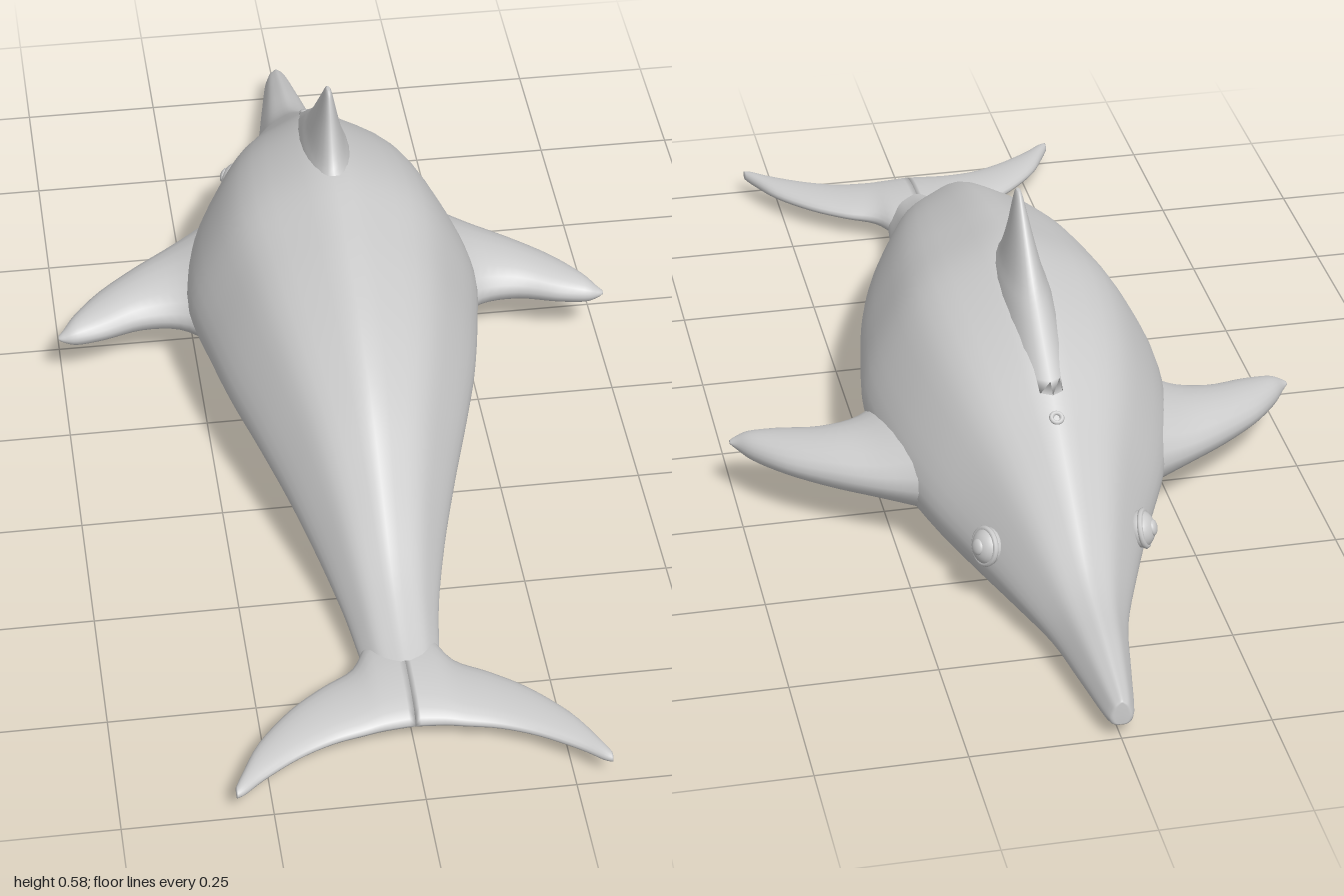
import * as THREE from 'three';

// Catmull-Rom through rows of numbers
function smoothRows(rows, steps) {
  const out = [], n = rows.length - 1;
  for (let i = 0; i < n; i++) {
    const a = rows[Math.max(i - 1, 0)], b = rows[i], c = rows[i + 1], d = rows[Math.min(i + 2, n)];
    for (let s = 0; s < steps; s++) {
      const t = s / steps;
      out.push(b.map((v, k) => v + 0.5 * t * (c[k] - a[k] + t * (2 * a[k] - 5 * v + 4 * c[k] - d[k]
        + t * (3 * (v - c[k]) + d[k] - a[k])))));
    }
  }
  out.push(rows[n]);
  return out;
}

// Skin closed rings of points, cap both ends, turn faces outward
function loft(rings) {
  const m = rings[0].length, pos = rings.flat(2), tris = [];
  for (let i = 0; i < rings.length - 1; i++) {
    for (let j = 0; j < m; j++) {
      const a = i * m + j, b = i * m + (j + 1) % m;
      tris.push([a, b, b + m], [a, b + m, a + m]);
    }
  }
  for (const i of [0, rings.length - 1]) {
    const centre = pos.length / 3;
    for (let k = 0; k < 3; k++) pos.push(rings[i].reduce((s, p) => s + p[k], 0) / m);
    for (let j = 0; j < m; j++) {
      const a = i * m + j, b = i * m + (j + 1) % m;
      tris.push(i === 0 ? [centre, b, a] : [centre, a, b]);
    }
  }
  const at = i => new THREE.Vector3().fromArray(pos, i * 3);
  const volume = tris.reduce((s, [a, b, c]) => s + at(a).dot(at(b).cross(at(c))), 0);
  const geo = new THREE.BufferGeometry();
  geo.setAttribute('position', new THREE.Float32BufferAttribute(pos, 3));
  geo.setIndex(tris.flatMap(([a, b, c]) => volume < 0 ? [a, c, b] : [a, b, c]));
  geo.computeVertexNormals();
  return geo;
}

// Lens-shaped ring in unit coordinates: u along the chord, v across the thickness
const lens = Array.from({ length: 20 }, (_, i) => {
  const a = i / 20 * Math.PI * 2;
  return [Math.cos(a), Math.sin(a)];
});

export function createModel() {
  const group = new THREE.Group();
  const skin = new THREE.MeshStandardMaterial({ color: 0xcccccc });
  const add = (name, geo, parent = group) => {
    const mesh = new THREE.Mesh(geo, skin);
    mesh.name = name;
    parent.add(mesh);
    return mesh;
  };

  // Body section: flat belly, widest low down, sloping shoulders, narrow back
  const half = [[0.42, 0], [0.78, 0.07], [0.97, 0.22], [0.98, 0.38], [0.82, 0.61], [0.61, 0.81], [0.3, 0.93]];
  const outline = [[0, 0], ...half, [0, 1], ...half.map(([x, y]) => [-x, y]).reverse(), [0, 0]];
  const section = smoothRows(outline, 3).slice(0, -1);

  // Body stations: z, half width, bottom, top
  const body = smoothRows([
    [-1, 0.012, 0.03, 0.07], [-0.985, 0.024, 0.025, 0.078], [-0.88, 0.044, 0.021, 0.108],
    [-0.76, 0.068, 0.018, 0.142], [-0.64, 0.112, 0.009, 0.222], [-0.52, 0.162, 0.003, 0.307],
    [-0.4, 0.217, 0.009, 0.386], [-0.28, 0.252, 0.02, 0.432], [-0.14, 0.266, 0.036, 0.452],
    [0, 0.246, 0.057, 0.435], [0.12, 0.222, 0.068, 0.41], [0.24, 0.188, 0.07, 0.373],
    [0.36, 0.149, 0.055, 0.316], [0.48, 0.112, 0.034, 0.233], [0.6, 0.083, 0.023, 0.15],
    [0.7, 0.068, 0.021, 0.105], [0.79, 0.055, 0.025, 0.079], [0.865, 0.03, 0.038, 0.062],
  ], 4);
  add('body', loft(body.map(([z, w, lo, hi]) => section.map(([x, y]) => [x * w, lo + y * (hi - lo), z]))));

  // Dorsal fin stations: y, front z, rear z, half thickness
  const dorsal = smoothRows([
    [0.34, -0.48, -0.04, 0.06], [0.42, -0.375, -0.08, 0.045], [0.46, -0.325, -0.125, 0.032],
    [0.51, -0.277, -0.154, 0.02], [0.555, -0.235, -0.172, 0.011], [0.578, -0.214, -0.182, 0.006],
    [0.585, -0.204, -0.19, 0.003],
  ], 4);
  add('dorsalFin', loft(dorsal.map(([y, f, r, t]) =>
    lens.map(([u, v]) => [v * t, y, (f + r) / 2 + u * (r - f) / 2]))));

  // Side fins and flukes: x, front z, rear z, bottom, top
  const sideLoft = (rows, side) => loft(smoothRows(rows, 4).map(([x, f, r, lo, hi]) =>
    lens.map(([u, v]) => [side * x, (lo + hi) / 2 + v * (hi - lo) / 2, (f + r) / 2 + u * (r - f) / 2])));
  const flipper = [
    [0.15, -0.45, -0.06, 0.04, 0.23], [0.22, -0.398, -0.1, 0.053, 0.2], [0.28, -0.36, -0.147, 0.068, 0.174],
    [0.35, -0.312, -0.157, 0.075, 0.16], [0.42, -0.257, -0.137, 0.083, 0.147], [0.47, -0.2, -0.13, 0.09, 0.136],
    [0.495, -0.162, -0.135, 0.102, 0.122], [0.505, -0.15, -0.14, 0.11, 0.115],
  ];
  const fluke = [
    [0, 0.64, 0.88, 0.023, 0.087], [0.05, 0.67, 0.882, 0.024, 0.08], [0.085, 0.732, 0.886, 0.026, 0.072],
    [0.14, 0.766, 0.898, 0.029, 0.066], [0.2, 0.812, 0.924, 0.031, 0.063], [0.26, 0.88, 0.962, 0.032, 0.06],
    [0.295, 0.945, 0.99, 0.034, 0.057], [0.31, 0.977, 0.997, 0.038, 0.053],
  ];

  for (const [side, label] of [[1, 'left'], [-1, 'right']]) {
    add(label + 'Flipper', sideLoft(flipper, side));
    add(label + 'Fluke', sideLoft(fluke, side));

    // Eye: flattened ball with a raised rim and pupil
    const eye = new THREE.Group();
    eye.name = label + 'Eye';
    eye.position.set(side * 0.132, 0.12, -0.578);
    eye.rotation.set(-0.25, side * (Math.PI / 2 + 0.4), 0, 'YXZ');
    add('eyeball', new THREE.SphereGeometry(0.032, 24, 16), eye).scale.z = 0.75;
    add('eyeRim', new THREE.TorusGeometry(0.03, 0.005, 8, 28), eye).position.z = 0.006;
    const pupil = add('pupil', new THREE.SphereGeometry(0.014, 16, 12), eye);
    pupil.position.z = 0.021;
    pupil.scale.z = 0.5;
    group.add(eye);
  }

  // Blowhole on top of the head
  const blowhole = add('blowhole', new THREE.TorusGeometry(0.009, 0.004, 8, 20));
  blowhole.position.set(0, 0.314, -0.51);
  blowhole.rotation.x = -Math.PI / 2 - 0.58;

  return group;
}
